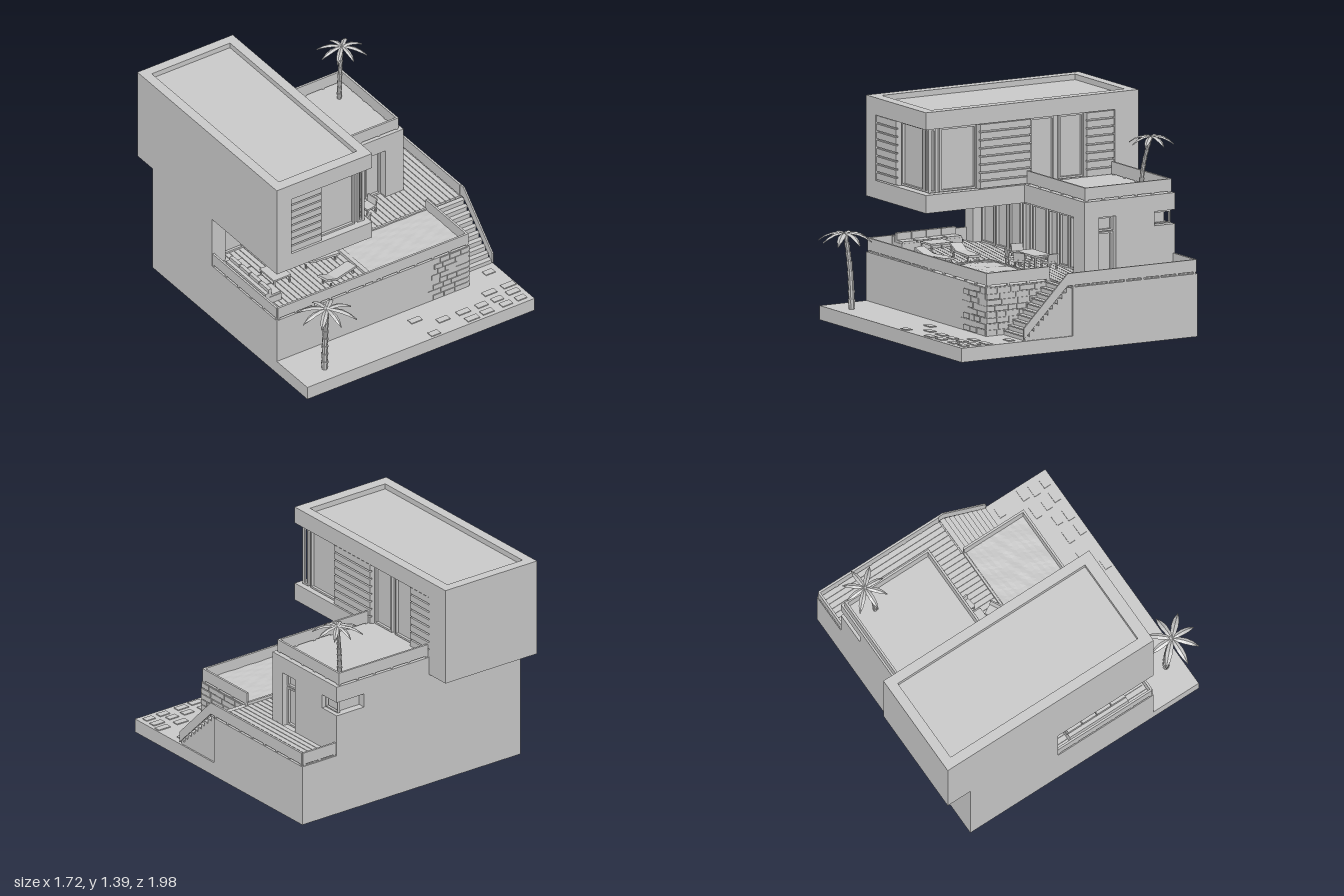
import * as THREE from 'three';

const stone = new THREE.MeshStandardMaterial({ color: 0xc8c8c8, side: THREE.DoubleSide, flatShading: true });
stone.name = 'light grey';

let seed = 7;
const rnd = () => (seed = (seed * 16807) % 2147483647) / 2147483647;

function group(parent, name) {
  const g = new THREE.Group();
  g.name = name;
  parent.add(g);
  return g;
}
function mesh(parent, name, geometry) {
  const m = new THREE.Mesh(geometry, stone);
  m.name = name;
  parent.add(m);
  return m;
}
// Box given by its limits on each axis
function box(parent, name, x0, x1, y0, y1, z0, z1) {
  const m = mesh(parent, name, new THREE.BoxGeometry(x1 - x0, y1 - y0, z1 - z0));
  m.position.set((x0 + x1) / 2, (y0 + y1) / 2, (z0 + z1) / 2);
  return m;
}
// Box on a wall: 'z' walls run along x, 'x' walls run along z
function wallBox(parent, name, axis, a0, a1, y0, y1, d0, d1) {
  return axis === 'z' ? box(parent, name, a0, a1, y0, y1, d0, d1) : box(parent, name, d0, d1, y0, y1, a0, a1);
}
function windowFrame(parent, axis, a0, a1, y0, y1, d, bar = 0.012) {
  const g = group(parent, 'windowFrame');
  wallBox(g, 'frameBottom', axis, a0, a1, y0, y0 + bar, d, d + 0.018);
  wallBox(g, 'frameTop', axis, a0, a1, y1 - bar, y1, d, d + 0.018);
  wallBox(g, 'frameSide', axis, a0, a0 + bar, y0, y1, d, d + 0.018);
  wallBox(g, 'frameSide', axis, a1 - bar, a1, y0, y1, d, d + 0.018);
}
function louvers(parent, axis, a0, a1, y0, y1, d0, d1, count = 8) {
  const g = group(parent, 'louvers');
  const step = (y1 - y0) / count;
  wallBox(g, 'louverBacking', axis, a0, a1, y0, y1, d0, d1 - 0.015);
  for (let i = 0; i < count; i++)
    wallBox(g, 'slat', axis, a0, a1, y0 + i * step + 0.005, y0 + (i + 1) * step - 0.005, d0, d1);
}
// Panel railing on short posts
function railing(parent, axis, a0, a1, d, y) {
  const g = group(parent, 'railing');
  wallBox(g, 'railPanel', axis, a0, a1, y + 0.012, y + 0.09, d - 0.007, d + 0.007);
  const n = Math.max(1, Math.round((a1 - a0) / 0.13));
  for (let i = 0; i <= n; i++) {
    const a = a0 + 0.01 + (a1 - a0 - 0.02) * i / n;
    wallBox(g, 'railPost', axis, a - 0.008, a + 0.008, y, y + 0.02, d - 0.006, d + 0.006);
  }
}
function planks(parent, x0, x1, z0, z1) {
  const g = group(parent, 'deck');
  const n = Math.round((x1 - x0) / 0.036), w = (x1 - x0) / n;
  for (let i = 0; i < n; i++)
    box(g, 'plank', x0 + i * w + 0.002, x0 + (i + 1) * w - 0.002, 0.395, 0.407, z0, z1);
}
function legs(parent, w, d, h) {
  for (const x of [-1, 1]) for (const z of [-1, 1]) {
    const lx = x * (w / 2 - 0.007), lz = z * (d / 2 - 0.007);
    box(parent, 'leg', lx - 0.005, lx + 0.005, 0, h, lz - 0.005, lz + 0.005);
  }
}
function chair(parent, x, z, turn) {
  const g = group(parent, 'chair');
  box(g, 'chairSeat', -0.04, 0.04, 0.04, 0.052, -0.04, 0.04);
  box(g, 'chairBack', -0.04, 0.04, 0.052, 0.1, 0.03, 0.04).rotation.x = 0.15;
  legs(g, 0.08, 0.08, 0.04);
  g.position.set(x, 0.407, z);
  g.rotation.y = turn;
}
function table(parent, x, z, w, d, h) {
  const g = group(parent, 'table');
  box(g, 'tableTop', -w / 2, w / 2, h - 0.012, h, -d / 2, d / 2);
  legs(g, w, d, h - 0.012);
  g.position.set(x, 0.407, z);
}
function lounger(parent, x, z, turn) {
  const g = group(parent, 'lounger');
  box(g, 'loungerBed', -0.06, 0.13, 0.03, 0.045, -0.04, 0.04);
  const back = box(g, 'loungerBack', -0.15, -0.05, 0.05, 0.063, -0.04, 0.04);
  back.rotation.z = -0.4;
  legs(g, 0.22, 0.08, 0.03);
  g.position.set(x, 0.407, z);
  g.rotation.y = turn;
}
// Curved ringed trunk with a crown of folded, drooping leaves
function palm(parent, base, top, leafLength, count) {
  const g = group(parent, 'palm');
  const a = new THREE.Vector3(...base), b = new THREE.Vector3(...top);
  const curve = new THREE.QuadraticBezierCurve3(a, new THREE.Vector3(a.x, (a.y + b.y) / 2, a.z), b);
  const n = 8, up = new THREE.Vector3(0, 1, 0);
  for (let i = 0; i < n; i++) {
    const p = curve.getPoint(i / n), q = curve.getPoint((i + 1) / n);
    const r = a.distanceTo(b) * (0.05 - 0.018 * i / n);
    const ring = mesh(g, 'trunkRing', new THREE.CylinderGeometry(r, r * 0.76, p.distanceTo(q), 8));
    ring.position.copy(p).add(q).multiplyScalar(0.5);
    ring.quaternion.setFromUnitVectors(up, q.sub(p).normalize());
  }
  const widths = [0.12, 0.2, 0.24, 0.19, 0.02];
  for (let k = 0; k < count; k++) {
    const leaf = new THREE.PlaneGeometry(1, 1, 2, 4);
    const pos = leaf.attributes.position;
    const len = leafLength * (0.86 + 0.14 * ((k * 3) % 4) / 3);
    for (let i = 0; i < pos.count; i++) {
      const row = Math.floor(i / 3), t = row / 4, side = i % 3 - 1;
      const h = len * (0.28 * t - 0.55 * t * t) - Math.abs(side) * len * 0.05;
      pos.setXYZ(i, side * widths[row] * len * 0.5, h, t * len);
    }
    leaf.computeVertexNormals();
    const m = mesh(g, 'palmLeaf', leaf);
    m.position.copy(b);
    m.rotation.y = k / count * Math.PI * 2;
  }
}

export function createModel() {
  const root = new THREE.Group();
  root.name = 'modernVilla';

  // Ground slab and podium
  const ground = group(root, 'podium');
  box(ground, 'groundSlab', -0.86, 0.855, 0, 0.09, -0.83, 0.89);
  box(ground, 'podiumMain', -0.86, 0.588, 0.09, 0.4, -0.83, 0.55);
  box(ground, 'podiumSide', 0.588, 0.855, 0.09, 0.4, -0.83, 0.08);
  planks(ground, -0.84, -0.13, -0.23, 0.53);
  planks(ground, -0.13, 0.588, -0.23, 0.09);
  planks(ground, 0.588, 0.84, -0.82, 0.08);

  // Stairs and sloping rail
  const stairs = group(root, 'stairs');
  const steps = 10, rise = 0.31 / steps, run = 0.34 / steps;
  for (let i = 0; i < steps; i++) {
    const y = 0.09 + (i + 1) * rise, z = 0.43 - i * run;
    box(stairs, 'step', 0.59, 0.845, 0.09, y - 0.008, 0.07, z - 0.006);
    box(stairs, 'tread', 0.59, 0.85, y - 0.008, y, z - run, z);
  }
  const slope = new THREE.Shape([[0.435, 0.1], [0.435, 0.17], [0.115, 0.49], [0.08, 0.49], [0.08, 0.412], [0.115, 0.412]]
    .map(([z, y]) => new THREE.Vector2(-z, y)));
  const rail = mesh(stairs, 'stairRail', new THREE.ExtrudeGeometry(slope, { depth: 0.01, bevelEnabled: false }));
  rail.rotation.y = Math.PI / 2;
  rail.position.x = 0.843;

  // Stone facing and path pavers
  const facing = group(root, 'stoneFacing');
  for (let row = 0; row < 8; row++) {
    const y = 0.095 + row * 0.038;
    for (let x = 0.587; x > 0.24 + 0.16 * rnd();) {
      const w = 0.05 + 0.06 * rnd();
      if (rnd() > 0.25) box(facing, 'stoneBlock', x - w, x - 0.005, y, y + 0.033, 0.545, 0.553 + 0.004 * rnd());
      x -= w;
    }
    for (let z = 0.55; z > 0.12;) {
      const w = 0.06 + 0.06 * rnd();
      box(facing, 'stoneBlock', 0.58, 0.592 + 0.005 * rnd(), y, y + 0.033, z - w + 0.005, z);
      z -= w;
    }
  }
  const path = group(root, 'path');
  for (let i = 0; i < 5; i++) for (let j = 0; j < 6; j++) {
    const x = 0.06 + j * 0.135 + 0.04 * rnd(), z = 0.47 + i * 0.085 + 0.02 * rnd();
    if (rnd() > 0.35 && (z > 0.58 || x > 0.62))
      box(path, 'paver', x, Math.min(x + 0.06 + 0.04 * rnd(), 0.85), 0.085, 0.096, z, z + 0.045);
  }

  // Pool with rippled water
  const pool = group(root, 'pool');
  box(pool, 'poolEdgeLeft', -0.13, -0.1, 0.4, 0.425, 0.09, 0.545);
  box(pool, 'poolEdgeBack', -0.13, 0.588, 0.4, 0.425, 0.085, 0.1);
  const water = new THREE.PlaneGeometry(0.68, 0.43, 24, 16).rotateX(-Math.PI / 2);
  const wp = water.attributes.position;
  for (let i = 0; i < wp.count; i++)
    wp.setY(i, 0.003 * Math.sin(wp.getX(i) * 37 + 2 * Math.sin(wp.getZ(i) * 25)) * Math.cos(wp.getZ(i) * 48));
  water.computeVertexNormals();
  mesh(pool, 'water', water).position.set(0.242, 0.418, 0.318);

  // Terrace railings
  railing(root, 'z', -0.85, 0.588, 0.54, 0.4);
  railing(root, 'x', -0.17, 0.54, -0.85, 0.4);
  railing(root, 'x', 0.09, 0.54, 0.581, 0.4);
  railing(root, 'x', -0.82, 0.08, 0.846, 0.4);
  railing(root, 'z', 0.588, 0.846, -0.82, 0.4);

  // Lower storey, with walls set around the recesses
  const house = group(root, 'lowerStorey');
  box(house, 'houseCore', -0.82, 0.535, 0.4, 0.865, -0.78, -0.235);
  box(house, 'leftWall', -0.86, -0.82, 0.4, 0.76, -0.83, -0.17);
  box(house, 'frontPierLeft', -0.82, -0.76, 0.4, 0.76, -0.235, -0.17);
  box(house, 'frontPierRight', 0.45, 0.585, 0.4, 0.87, -0.275, -0.17);
  box(house, 'frontLintel', -0.16, 0.45, 0.758, 0.87, -0.24, -0.17);
  box(house, 'doorLintel', 0.5, 0.585, 0.765, 0.87, -0.4, -0.275);
  box(house, 'rightWall', 0.5, 0.585, 0.4, 0.87, -0.68, -0.4);
  box(house, 'backWall', -0.82, 0.37, 0.4, 0.87, -0.83, -0.78);
  for (const [y0, y1] of [[0.4, 0.675], [0.765, 0.87]]) {
    box(house, 'cornerWall', 0.535, 0.585, y0, y1, -0.83, -0.68);
    box(house, 'cornerWallBack', 0.37, 0.535, y0, y1, -0.83, -0.78);
  }
  windowFrame(house, 'x', -0.81, -0.685, 0.68, 0.76, 0.545, 0.008);
  windowFrame(house, 'x', -0.395, -0.28, 0.405, 0.665, 0.535);
  windowFrame(house, 'x', -0.395, -0.28, 0.67, 0.762, 0.535);
  for (const [a, b] of [[-0.74, -0.59], [-0.57, -0.43], [-0.41, -0.27], [-0.245, -0.145],
    [-0.125, 0.045], [0.07, 0.18], [0.2, 0.31], [0.33, 0.445]])
    windowFrame(house, 'z', a, b, 0.407, 0.745, -0.236);

  // Roof terrace
  const roof = group(root, 'roofTerrace');
  box(roof, 'roofSlab', -0.16, 0.585, 0.86, 0.872, -0.83, -0.17);
  railing(roof, 'z', -0.14, 0.56, -0.195, 0.867);
  railing(roof, 'z', -0.14, 0.56, -0.812, 0.867);
  railing(roof, 'x', -0.812, -0.195, 0.553, 0.867);

  // Upper volume with open front corner
  const upper = group(root, 'upperStorey');
  box(upper, 'upperFloor', -0.86, -0.14, 0.755, 0.87, -1, 0.55);
  box(upper, 'upperCeiling', -0.86, -0.14, 1.285, 1.36, -1, 0.55);
  box(upper, 'upperCore', -0.86, -0.19, 0.87, 1.285, -0.83, 0.49);
  box(upper, 'upperBack', -0.86, -0.14, 0.87, 1.285, -1, -0.83);
  box(upper, 'upperFrontPier', -0.86, -0.75, 0.87, 1.285, 0.49, 0.55);
  box(upper, 'parapetLeft', -0.86, -0.795, 1.36, 1.395, -1, 0.55);
  box(upper, 'parapetRight', -0.205, -0.14, 1.36, 1.395, -1, 0.55);
  box(upper, 'parapetBack', -0.795, -0.205, 1.36, 1.395, -1, -0.935);
  box(upper, 'parapetFront', -0.795, -0.205, 1.36, 1.395, 0.475, 0.55);
  louvers(upper, 'z', -0.75, -0.515, 0.87, 1.285, 0.49, 0.54);
  windowFrame(upper, 'z', -0.505, -0.245, 0.875, 1.28, 0.49);
  windowFrame(upper, 'z', -0.22, -0.17, 0.875, 1.28, 0.49);
  windowFrame(upper, 'x', 0.455, 0.51, 0.875, 1.28, -0.19);
  windowFrame(upper, 'x', 0.165, 0.43, 0.875, 1.28, -0.19);
  louvers(upper, 'x', -0.22, 0.15, 0.87, 1.285, -0.19, -0.145);
  windowFrame(upper, 'x', -0.405, -0.23, 0.875, 1.28, -0.19);
  windowFrame(upper, 'x', -0.615, -0.44, 0.875, 1.28, -0.19);
  louvers(upper, 'x', -0.825, -0.63, 0.87, 1.285, -0.19, -0.145);

  // Terrace furniture
  const furniture = group(root, 'furniture');
  table(furniture, 0.085, -0.1, 0.23, 0.12, 0.075);
  chair(furniture, -0.09, -0.1, -Math.PI / 2 - 0.15);
  chair(furniture, 0.27, -0.1, Math.PI / 2 + 0.15);
  chair(furniture, 0.03, 0.02, -0.25);
  chair(furniture, 0.145, 0.02, 0.5);
  box(furniture, 'sofaBase', -0.82, -0.71, 0.407, 0.455, -0.06, 0.38);
  box(furniture, 'sofaBack', -0.83, -0.8, 0.407, 0.49, -0.06, 0.38);
  for (let i = 0; i < 4; i++) {
    const z = -0.055 + i * 0.109;
    box(furniture, 'sofaCushion', -0.8, -0.712, 0.455, 0.468, z, z + 0.103);
    box(furniture, 'sofaPillow', -0.805, -0.78, 0.46, 0.513, z, z + 0.103);
  }
  table(furniture, -0.62, 0.18, 0.13, 0.16, 0.06);
  lounger(furniture, -0.29, 0.17, -0.1);
  lounger(furniture, -0.29, 0.39, 0.25);

  // Palms
  palm(root, [-0.655, 0.09, 0.78], [-0.665, 0.575, 0.82], 0.19, 8);
  palm(root, [0.44, 0.87, -0.67], [0.49, 1.225, -0.715], 0.16, 8);
  return root;
}
